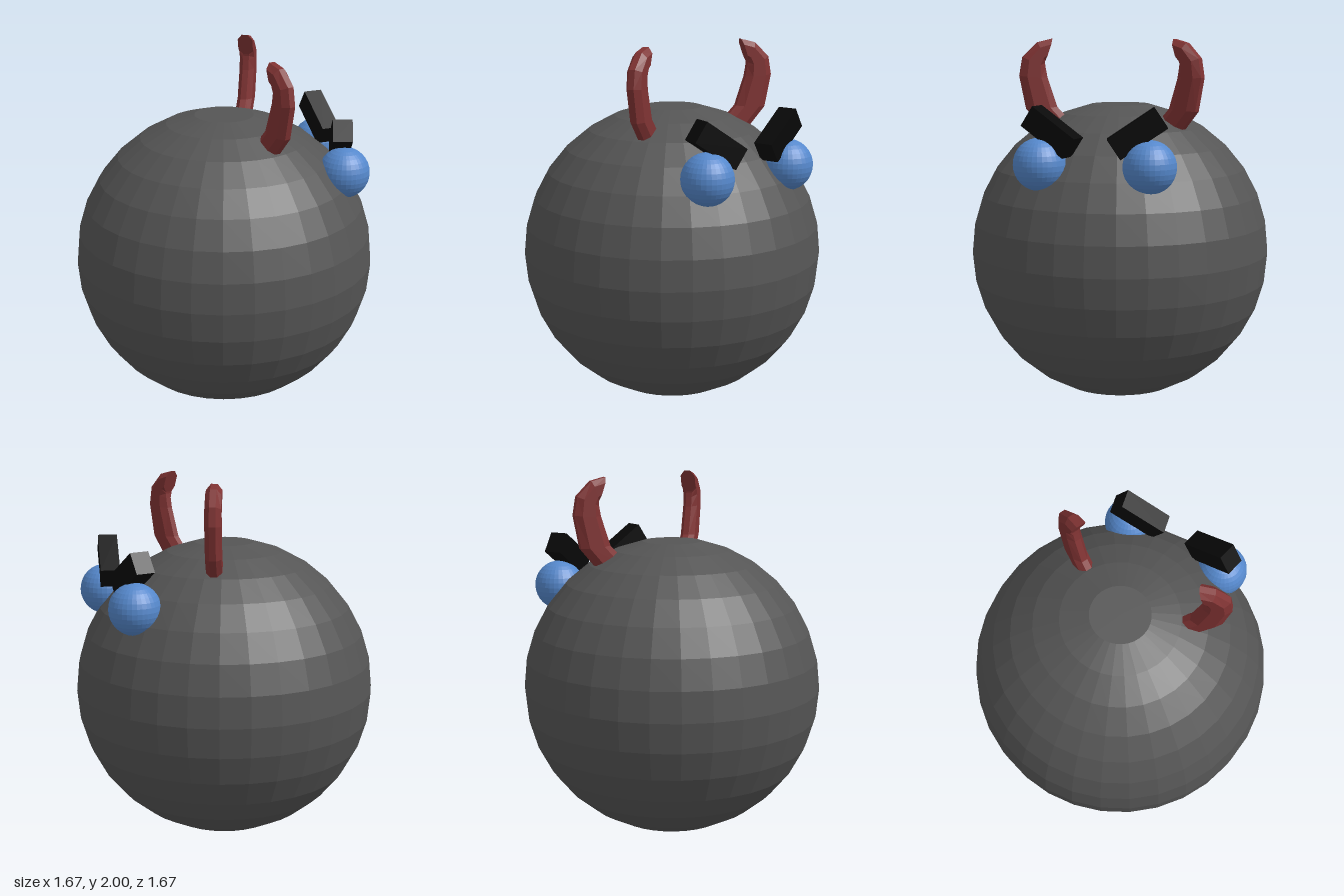
import * as THREE from 'three';

const mat = (name, color, extra = {}) => {
  const m = new THREE.MeshStandardMaterial({ color, flatShading: true, ...extra });
  m.name = name;
  return m;
};

// Curved horn: an eight-sided section carried through rings of [outer z, outer y, inner z, inner y]
function hornGeometry(side) {
  const rings = [
    [0.365, 1.48, 0.25, 1.55], [0.472, 1.62, 0.318, 1.63], [0.504, 1.80, 0.366, 1.79],
    [0.488, 1.90, 0.375, 1.845], [0.414, 1.98, 0.378, 1.87], [0.34, 2.0, 0.377, 1.88],
  ];
  const section = [[0.5, -0.2], [0.5, 0.2], [0.25, 0.5], [-0.25, 0.5],
    [-0.5, 0.2], [-0.5, -0.2], [-0.25, -0.5], [0.25, -0.5]];
  const n = section.length, thick = 0.085, pos = [], idx = [];
  for (const [zo, yo, zi, yi] of rings) {
    for (const [u, v] of section) {
      const z = (zo + zi) / 2 + u * (zo - zi);
      const y = (yo + yi) / 2 + u * (yo - yi);
      const x = 0.188 + 0.45 * (z - 0.35);
      pos.push(x + 0.91 * v * thick, y, side * (z - 0.41 * v * thick));
    }
  }
  const tri = (a, b, c) => (side > 0 ? idx.push(a, b, c) : idx.push(a, c, b));
  for (let i = 0; i < rings.length - 1; i++) {
    for (let j = 0; j < n; j++) {
      const a = i * n + j, b = i * n + (j + 1) % n;
      tri(a, b, b + n);
      tri(a, b + n, a + n);
    }
  }
  const last = (rings.length - 1) * n;
  for (let j = 1; j < n - 1; j++) {
    tri(0, j + 1, j);
    tri(last, last + j, last + j + 1);
  }
  const g = new THREE.BufferGeometry();
  g.setAttribute('position', new THREE.Float32BufferAttribute(pos, 3));
  g.setIndex(idx);
  const flat = g.toNonIndexed();
  flat.computeVertexNormals();
  return flat;
}

export function createModel() {
  const model = new THREE.Group();
  const grey = mat('bodyGrey', 0x555555);
  const blue = mat('eyeBlue', 0x5588cc);
  const black = mat('browBlack', 0x080808);
  const red = mat('hornRed', 0x803333);
  const add = (name, geometry, material) => {
    const m = new THREE.Mesh(geometry, material);
    m.name = name;
    model.add(m);
    return m;
  };

  // Round body with flattened poles
  const R = 0.835, cy = 0.82, profile = [];
  for (let i = 1; i < 16; i++) {
    const a = (i * Math.PI) / 16;
    profile.push(new THREE.Vector2(R * Math.sin(a), cy - R * Math.cos(a)));
  }
  profile.unshift(new THREE.Vector2(0, profile[0].y));
  profile.push(new THREE.Vector2(0, profile[profile.length - 1].y));
  add('body', new THREE.LatheGeometry(profile, 32), grey);

  // Face pairs, mirrored across z
  for (const s of [1, -1]) {
    const label = s > 0 ? 'Front' : 'Back';
    add('eye' + label, new THREE.SphereGeometry(0.139, 32, 16), blue).position.set(0.607, 1.362, s * 0.291);

    // Slanted brow: width, thickness and length axes
    const w = new THREE.Vector3(0.978, 0, s * 0.208).normalize();
    const l = new THREE.Vector3(-0.173, 0.556, s * 0.813).normalize();
    const t = new THREE.Vector3().crossVectors(l, w).normalize();
    const brow = add('brow' + label, new THREE.BoxGeometry(0.106, 0.123, 0.288), black);
    brow.quaternion.setFromRotationMatrix(new THREE.Matrix4().makeBasis(w, t, l));
    brow.position.set(0.601, 1.533, s * 0.225);

    add('horn' + label, hornGeometry(s), red);
  }
  return model;
}
